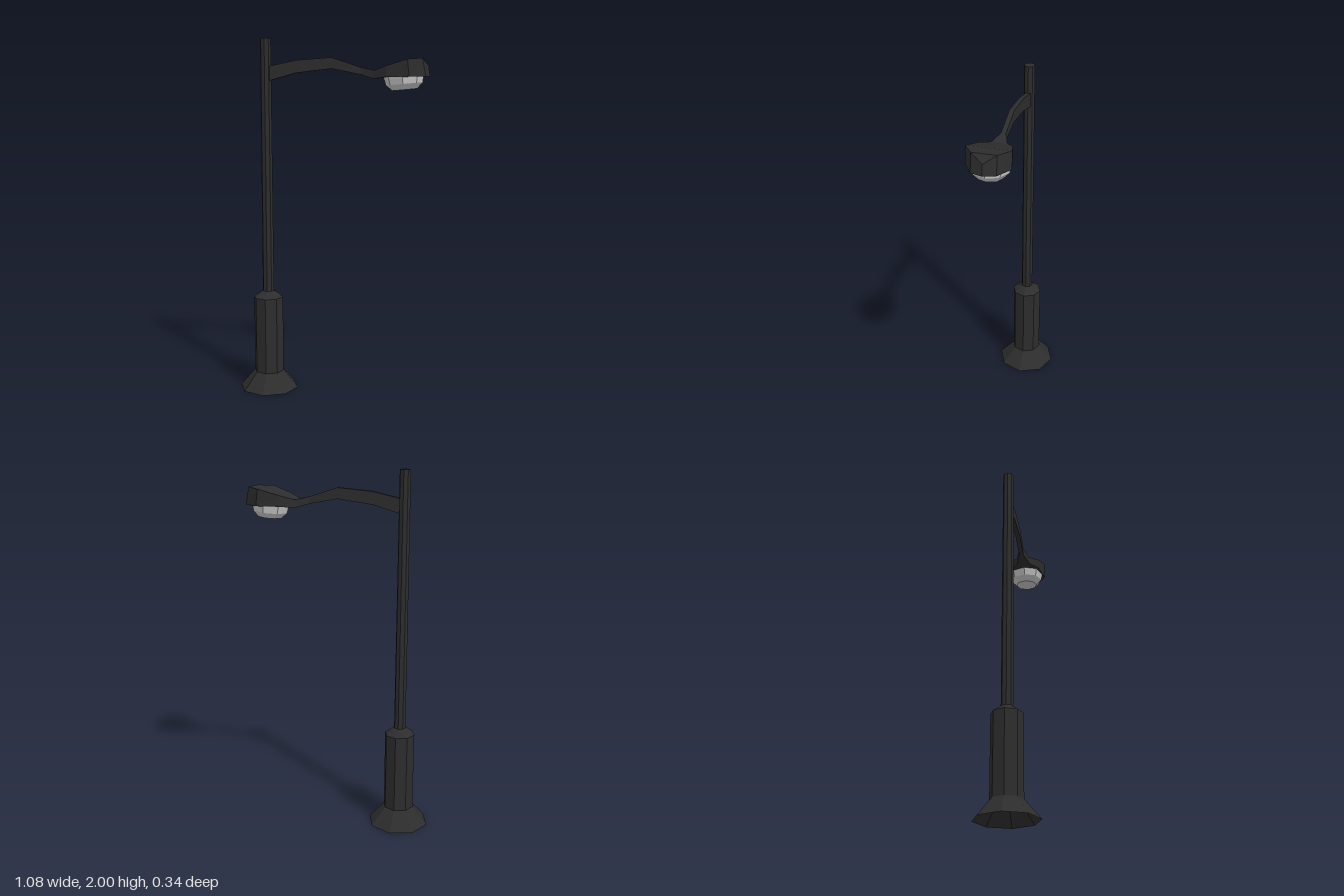
import * as THREE from 'three';

const POLE_X = -0.37;

function mesh(name, geometry, material) {
  const m = new THREE.Mesh(geometry, material);
  m.name = name;
  return m;
}

// Skin of four-cornered sections along x: [xTop, yTop, xBottom, yBottom, halfWidth]
function loft(sections) {
  const rings = sections.map(([xt, yt, xb, yb, w]) => [
    [xt, yt, w], [xt, yt, -w], [xb, yb, -w], [xb, yb, w],
  ]);
  const pos = [];
  for (let s = 0; s < rings.length - 1; s++) {
    const a = rings[s], b = rings[s + 1];
    for (let i = 0; i < 4; i++) {
      const j = (i + 1) % 4;
      pos.push(...a[i], ...b[i], ...b[j], ...a[i], ...b[j], ...a[j]);
    }
  }
  const g = new THREE.BufferGeometry();
  g.setAttribute('position', new THREE.Float32BufferAttribute(pos, 3));
  g.computeVertexNormals();
  return g;
}

export function createModel() {
  const group = new THREE.Group();
  const metal = new THREE.MeshStandardMaterial({ color: 0x2d2d2d, flatShading: true, side: THREE.DoubleSide });
  metal.name = 'dark metal';
  const glass = new THREE.MeshStandardMaterial({ color: 0xc8c8c8, flatShading: true });
  glass.name = 'pale glass';

  // Stacked octagonal post: [name, top radius, bottom radius, y from, y to, open ended]
  const post = [
    ['baseFlare', 0.085, 0.17, 0, 0.1, true],
    ['baseSleeve', 0.085, 0.085, 0.1, 0.54, false],
    ['sleeveShoulder', 0.034, 0.085, 0.54, 0.577, true],
    ['pole', 0.03, 0.033, 0.5, 2, false],
  ];
  for (const [name, rTop, rBottom, y0, y1, open] of post) {
    const part = mesh(name, new THREE.CylinderGeometry(rTop, rBottom, y1 - y0, 8, 1, open), metal);
    part.position.set(POLE_X, (y0 + y1) / 2, 0);
    group.add(part);
  }

  // Curved arm
  group.add(mesh('arm', loft([
    [-0.36, 1.848, -0.36, 1.768, 0.013],
    [-0.198, 1.882, -0.198, 1.813, 0.013],
    [0, 1.896, 0, 1.836, 0.013],
    [0.16, 1.843, 0.16, 1.804, 0.013],
  ]), metal));

  // Lamp head, widening from the arm and closing in a pointed nose
  group.add(mesh('lampHead', loft([
    [0.16, 1.843, 0.16, 1.804, 0.013],
    [0.235, 1.826, 0.235, 1.782, 0.04],
    [0.305, 1.85, 0.305, 1.79, 0.086],
    [0.42, 1.884, 0.43, 1.792, 0.115],
    [0.495, 1.89, 0.515, 1.793, 0.063],
    [0.526, 1.85, 0.535, 1.793, 0],
  ]), metal));

  // Faceted glass bowl, slightly tilted
  const bowl = new THREE.LatheGeometry([
    new THREE.Vector2(0, -0.073),
    new THREE.Vector2(0.068, -0.073),
    new THREE.Vector2(0.1, -0.042),
    new THREE.Vector2(0.11, 0.005),
  ], 8);
  const lens = mesh('lens', bowl, glass);
  lens.scale.z = 0.95;
  lens.position.set(0.393, 1.796, 0);
  lens.rotation.z = 0.09;
  group.add(lens);

  return group;
}
